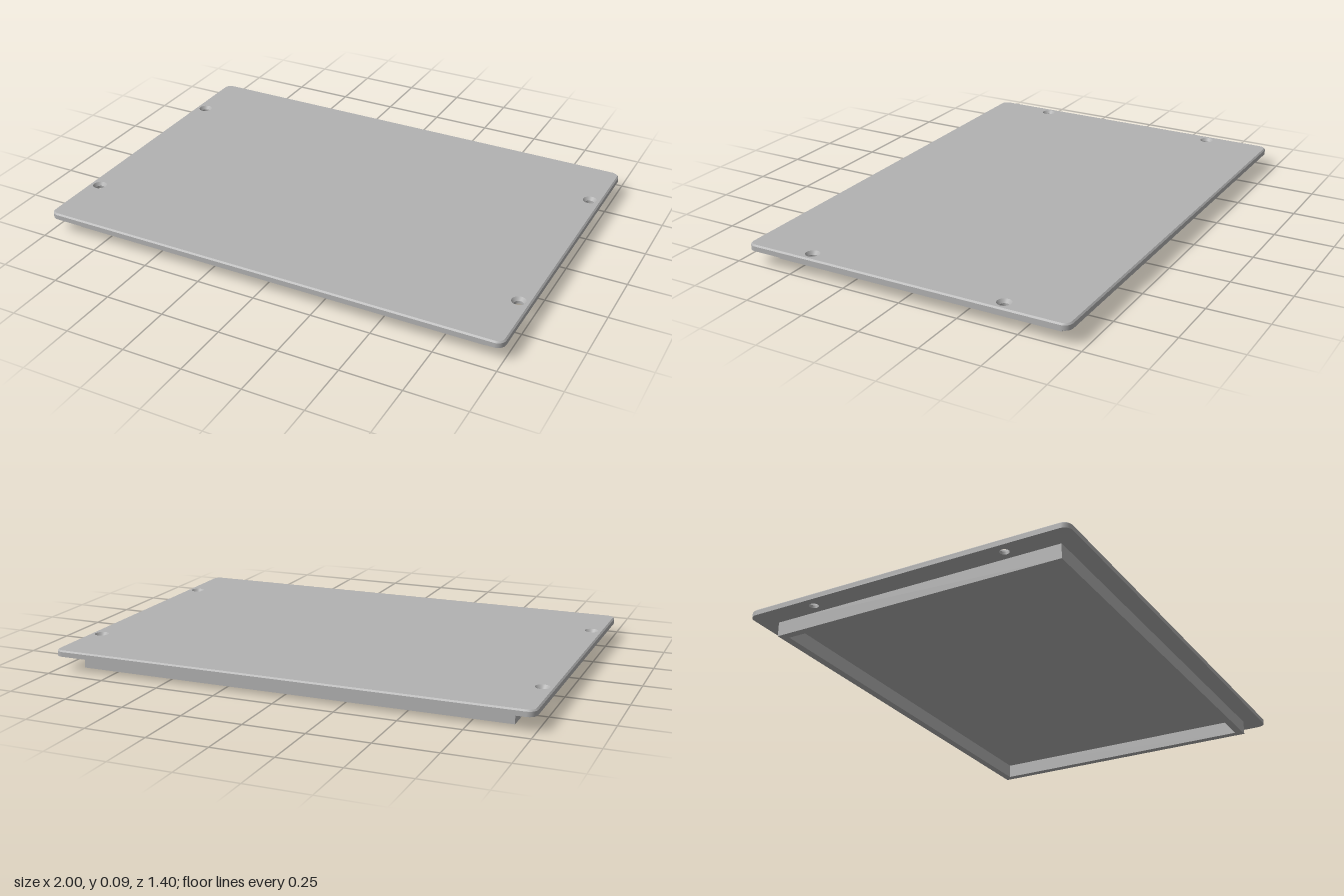
import * as THREE from 'three';
import { mergeGeometries } from 'three/addons/utils/BufferGeometryUtils.js';

const HALF_W = 1, HALF_D = 0.7, CORNER = 0.035, CHAMFER = 0.006;
const BASE = 0.06, TOP = 0.086, SINK_START = 0.072;
const HOLE_R = 0.019, SINK_R = 0.029;

// Anticlockwise rounded rectangle, pulled in by an inset
function plateLoop(inset = 0) {
  const points = [], r = CORNER - inset, steps = 8;
  [[1, 1], [-1, 1], [-1, -1], [1, -1]].forEach(([sx, sy], corner) => {
    for (let i = 0; i <= steps; i++) {
      const a = (corner + i / steps) * Math.PI / 2;
      points.push(new THREE.Vector2(
        sx * (HALF_W - CORNER) + r * Math.cos(a),
        sy * (HALF_D - CORNER) + r * Math.sin(a)));
    }
  });
  return points;
}

// Clockwise circle, so that its wall faces into the hole
function holeLoop([x, y], r) {
  return Array.from({ length: 32 }, (_, i) => {
    const a = -i / 32 * Math.PI * 2;
    return new THREE.Vector2(x + r * Math.cos(a), y + r * Math.sin(a));
  });
}

// Wall between a lower and an upper loop
function band(lower, low, upper, high) {
  const n = lower.length, positions = [], index = [];
  lower.forEach(p => positions.push(p.x, p.y, low));
  upper.forEach(p => positions.push(p.x, p.y, high));
  for (let i = 0; i < n; i++) {
    const j = (i + 1) % n;
    index.push(i, j, n + j, i, n + j, n + i);
  }
  const g = new THREE.BufferGeometry();
  g.setAttribute('position', new THREE.Float32BufferAttribute(positions, 3));
  g.setIndex(index);
  g.computeVertexNormals();
  return g;
}

// Flat face with holes, facing up or down
function cap(outline, holes, height, down = false) {
  const shape = new THREE.Shape(outline);
  shape.holes = holes.map(h => new THREE.Path(h));
  const g = new THREE.ShapeGeometry(shape);
  g.deleteAttribute('uv');
  g.translate(0, 0, height);
  if (down) {
    g.setIndex(Array.from(g.index.array).reverse());
    g.computeVertexNormals();
  }
  return g;
}

export function createModel() {
  const model = new THREE.Group();
  model.name = 'coverPanel';
  const grey = new THREE.MeshStandardMaterial({ color: 0xb2b2b2 });
  grey.name = 'plain grey';

  // Cover plate with chamfered top edge and countersunk screw holes
  const centres = [[-0.953, -0.42], [0.953, -0.42], [-0.953, 0.42], [0.953, 0.42]];
  const small = centres.map(c => holeLoop(c, HOLE_R));
  const large = centres.map(c => holeLoop(c, SINK_R));
  const outer = plateLoop(), inner = plateLoop(CHAMFER);
  const parts = [
    cap(outer, small, BASE, true),
    band(outer, BASE, outer, TOP - CHAMFER),
    band(outer, TOP - CHAMFER, inner, TOP),
    cap(inner, large, TOP),
  ];
  centres.forEach((_, i) => parts.push(
    band(small[i], BASE, small[i], SINK_START),
    band(small[i], SINK_START, large[i], TOP)));
  const plate = new THREE.Mesh(mergeGeometries(parts).rotateX(-Math.PI / 2), grey);
  plate.name = 'coverPlate';
  model.add(plate);

  // Rectangular locating rim underneath, open at the bottom
  const rect = (w, d) => [[-w, -d], [w, -d], [w, d], [-w, d]].map(p => new THREE.Vector2(...p));
  const rimShape = new THREE.Shape(rect(0.907, 0.625));
  rimShape.holes.push(new THREE.Path(rect(0.875, 0.593)));
  const rim = new THREE.Mesh(
    new THREE.ExtrudeGeometry(rimShape, { depth: BASE + 0.004, bevelEnabled: false }).rotateX(-Math.PI / 2),
    grey);
  rim.name = 'locatingRim';
  model.add(rim);

  return model;
}
